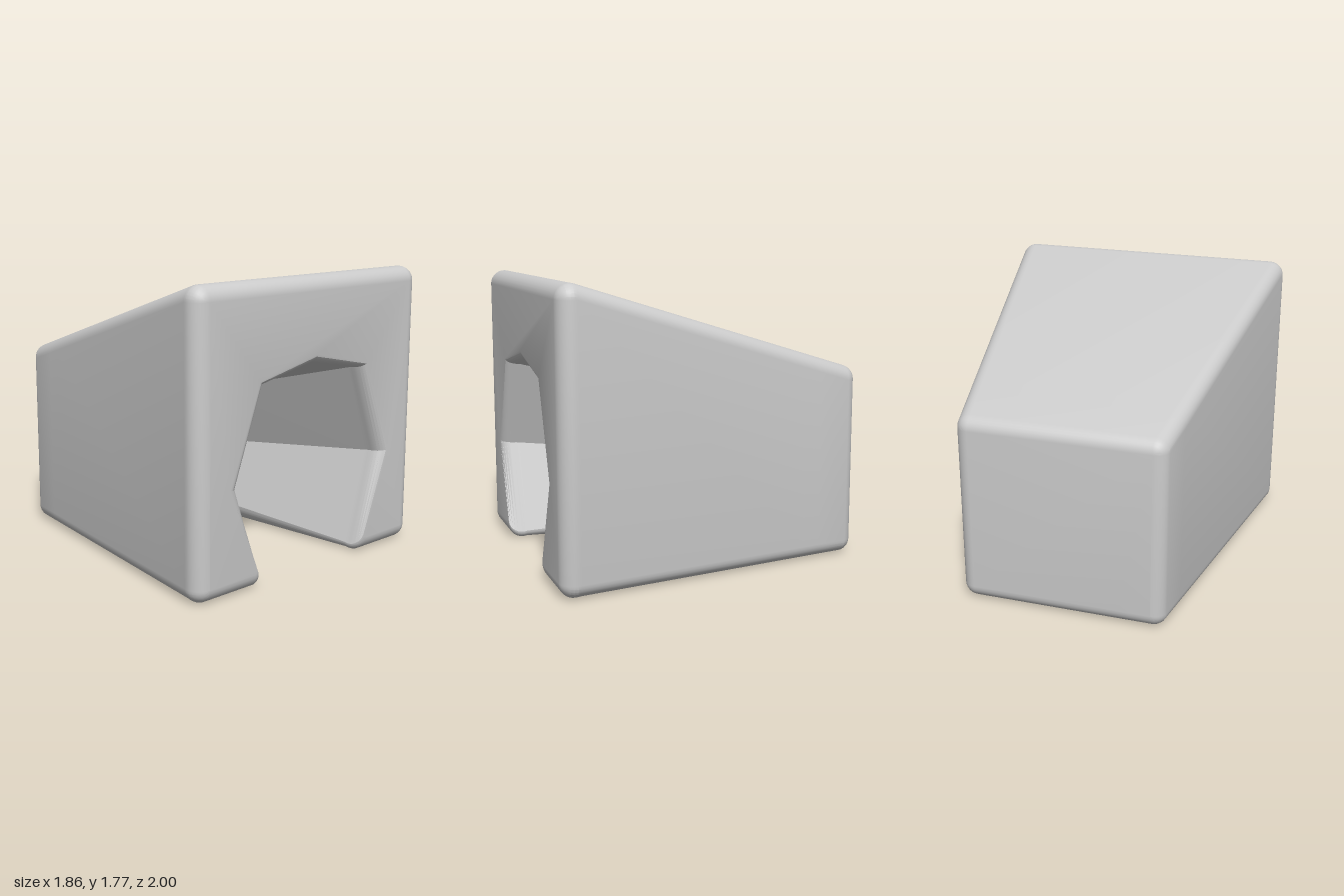
import * as THREE from 'three';
import { toCreasedNormals } from 'three/addons/utils/BufferGeometryUtils.js';

const R = 0.09;                       // radius of the outer edges
const TILT = Math.atan(0.308);        // slope of the roof
const WALL_Z = -0.62, LIP = 0.11;     // inner back wall and the radius of its lower edge
const END = 1 - R;
const SEG = 7;

// Half outline of the tunnel: foot start, foot top (height above the base), side, shoulder, ridge
const tunnelBack = [[0.36, 0], [0.25, 0.14], [0.365, 0.47], [0.25, 0.79], [0, 0.845]];
const tunnelFront = [[0.47, 0], [0.43, 0.04], [0.615, 0.62], [0.42, 1.18], [0, 1.26]];
const tunnelLip = [[0.50, 0], [0.47, 0.02], [0.69, 0.63], [0.465, 1.215], [0, 1.315]];
const flatX = [0, 0, 0.18, 0.09, 0];

const mix = (a, b, t) => a.map((p, i) => p.map((v, k) => v + (b[i][k] - v) * t));

// One closed cross-section, anticlockwise from the front.
// z0 is the plane of the edge centres, phi the angle round the end edges,
// lip the height to which the tunnel is cut (Infinity where it is open).
function section({ z0, phi, lip }) {
  const z = z0 + R * Math.sin(phi);
  const rad = Math.max(R * Math.cos(phi), 0.001);
  const base = R - rad;
  const cx = 0.70 + 0.156 * z0, top = 1.403 + 0.308 * z0;
  const t = THREE.MathUtils.clamp((z - WALL_Z) / (END - WALL_Z), 0, 1);
  const open = lip === Infinity;
  let n = mix(tunnelBack, tunnelFront, t);
  if (phi > 0) n = mix(n, tunnelLip, 1 - Math.cos(phi));

  const half = [];
  for (let i = 4; i > 1; i--) half.push(open ? n[i] : [flatX[i], base + lip]);
  // rounded inner edge of the foot
  for (let i = SEG; i >= 0; i--) {
    const a = (i / SEG) * Math.PI / 2;
    const x = n[0][0] + (n[1][0] - n[0][0]) * Math.sin(a);
    half.push([x, base + Math.min(lip, n[1][1] * (1 - Math.cos(a)))]);
  }
  // outer bottom and top corners
  [[R, -1], [top, 0]].forEach(([cy, start]) => {
    for (let i = 0; i <= SEG; i++) {
      const a = (start + i / SEG) * Math.PI / 2;
      half.push([cx + rad * Math.cos(a), cy + rad * Math.sin(a)]);
    }
  });
  const mirrored = half.slice(1).reverse().map(([x, y]) => [-x, y]);
  return [...half, ...mirrored].map(([x, y]) => new THREE.Vector3(x, y, z));
}

function bodyGeometry() {
  const rows = [];
  // rounded back end
  for (let i = 0; i <= 6; i++) {
    rows.push({ z0: -END, phi: THREE.MathUtils.lerp(-Math.PI / 2, -TILT, i / 6), lip: 0 });
  }
  // rounded lower edge of the inner back wall
  const shift = R * Math.sin(TILT);
  for (let i = 0; i <= SEG; i++) {
    const a = (i / SEG) * Math.PI / 2;
    rows.push({ z0: WALL_Z - LIP * (1 - Math.sin(a)) + shift, phi: -TILT, lip: LIP * (1 - Math.cos(a)) });
  }
  // inner back wall, tunnel and rounded front end
  rows.push({ z0: WALL_Z + shift, phi: -TILT, lip: Infinity });
  for (let i = 0; i <= 8; i++) {
    rows.push({ z0: END, phi: THREE.MathUtils.lerp(-TILT, Math.PI / 2, i / 8), lip: Infinity });
  }

  const rings = rows.map(section);
  const count = rings[0].length;
  const index = [];
  for (let i = 0; i < rings.length - 1; i++) {
    for (let j = 0; j < count; j++) {
      const k = (j + 1) % count;
      const a = i * count + j, b = i * count + k;
      index.push(a, b, b + count, a, b + count, a + count);
    }
  }
  // flat back and front faces
  const cap = (row, flip) => {
    const outline = rings[row].map((p) => new THREE.Vector2(p.x, p.y));
    THREE.ShapeUtils.triangulateShape(outline, []).forEach(([a, b, c]) => {
      const tri = flip ? [a, c, b] : [a, b, c];
      index.push(...tri.map((v) => v + row * count));
    });
  };
  cap(0, true);
  cap(rings.length - 1, false);

  const geometry = new THREE.BufferGeometry().setFromPoints(rings.flat());
  geometry.setIndex(index);
  return toCreasedNormals(geometry, 0.3);
}

export function createModel() {
  const group = new THREE.Group();
  group.name = 'taperedShelter';
  const body = new THREE.Mesh(bodyGeometry(), new THREE.MeshStandardMaterial({ color: 0xcccccc }));
  body.name = 'hollowBody';
  group.add(body);
  return group;
}
